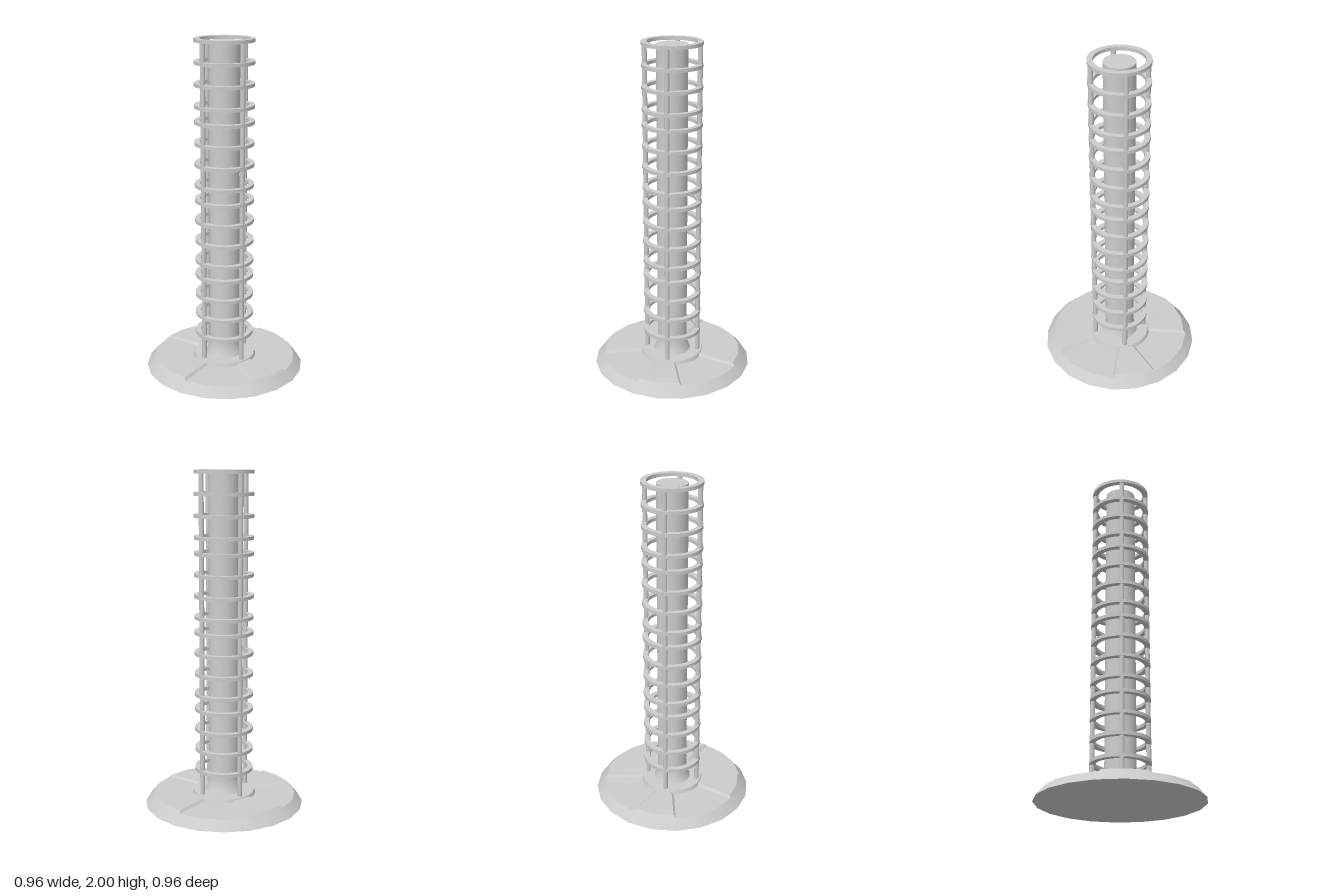
import * as THREE from 'three';
import { toCreasedNormals } from 'three/addons/utils/BufferGeometryUtils.js';

const grey = new THREE.MeshStandardMaterial({ color: 0xcccccc });

function add(parent, name, geometry, y = 0) {
  const mesh = new THREE.Mesh(geometry, grey);
  mesh.name = name;
  mesh.position.y = y;
  parent.add(mesh);
  return mesh;
}

// Revolves [radius, y] points, keeping the corners sharp
function lathe(points, segments) {
  const profile = points.map(([r, y]) => new THREE.Vector2(r, y));
  return toCreasedNormals(new THREE.LatheGeometry(profile, segments), 0.6);
}

// Raised panel with sloping sides: two matching outlines of [x, z] joined by walls
function panelGeometry(lower, y0, upper, y1) {
  const n = lower.length;
  const positions = [
    ...lower.flatMap(([x, z]) => [x, y0, z]),
    ...upper.flatMap(([x, z]) => [x, y1, z]),
  ];
  const index = [];
  for (let i = 0; i < n; i++) {
    const j = (i + 1) % n;
    index.push(i, j, n + j, i, n + j, n + i);
    if (i > 0 && i < n - 1) index.push(n, n + i, n + i + 1);
  }
  const geometry = new THREE.BufferGeometry();
  geometry.setAttribute('position', new THREE.Float32BufferAttribute(positions, 3));
  geometry.setIndex(index);
  return toCreasedNormals(geometry, 0.5);
}

export function createModel() {
  const model = new THREE.Group();
  model.name = 'cagedColumn';

  // Twenty-sided foot with four raised panels
  const base = new THREE.Group();
  base.name = 'base';
  model.add(base);
  add(base, 'foot', new THREE.CylinderGeometry(0.432, 0.48, 0.056, 20), 0.028);

  const lower = [[-0.058, 0.175], [-0.1335, 0.411], [0, 0.432], [0.1335, 0.411], [0.058, 0.175]];
  const upper = [[-0.043, 0.175], [-0.118, 0.401], [0, 0.42], [0.118, 0.401], [0.043, 0.175]];
  const panel = panelGeometry(lower, 0.056, upper, 0.07);
  for (let i = 0; i < 4; i++) {
    add(base, 'raisedPanel', panel).rotation.y = (i * Math.PI) / 2;
  }
  add(base, 'collar', new THREE.CylinderGeometry(0.185, 0.193, 0.022, 20), 0.066);

  // Central pole with a flared foot
  add(model, 'pole', lathe([
    [0.116, 0.07], [0.106, 0.09], [0.098, 0.115], [0.092, 0.14], [0.09, 0.16],
    [0.09, 1.985], [0, 1.985],
  ], 32));

  // Cage of four uprights and four groups of four hoops
  const cage = new THREE.Group();
  cage.name = 'cage';
  model.add(cage);
  const rod = new THREE.CylinderGeometry(0.0145, 0.0145, 1.925, 10);
  for (let i = 0; i < 4; i++) {
    const angle = (i * Math.PI) / 2;
    const upright = add(cage, 'upright', rod, 1.0325);
    upright.position.x = 0.159 * Math.sin(angle);
    upright.position.z = 0.159 * Math.cos(angle);
  }
  const h = 0.01;
  const hoop = lathe([[0.143, -h], [0.175, -h], [0.175, h], [0.143, h], [0.143, -h]], 40);
  for (let group = 0; group < 4; group++) {
    for (let i = 0; i < 4; i++) {
      add(cage, 'hoop', hoop, 0.218 + group * 0.466 + i * 0.1247);
    }
  }

  return model;
}
